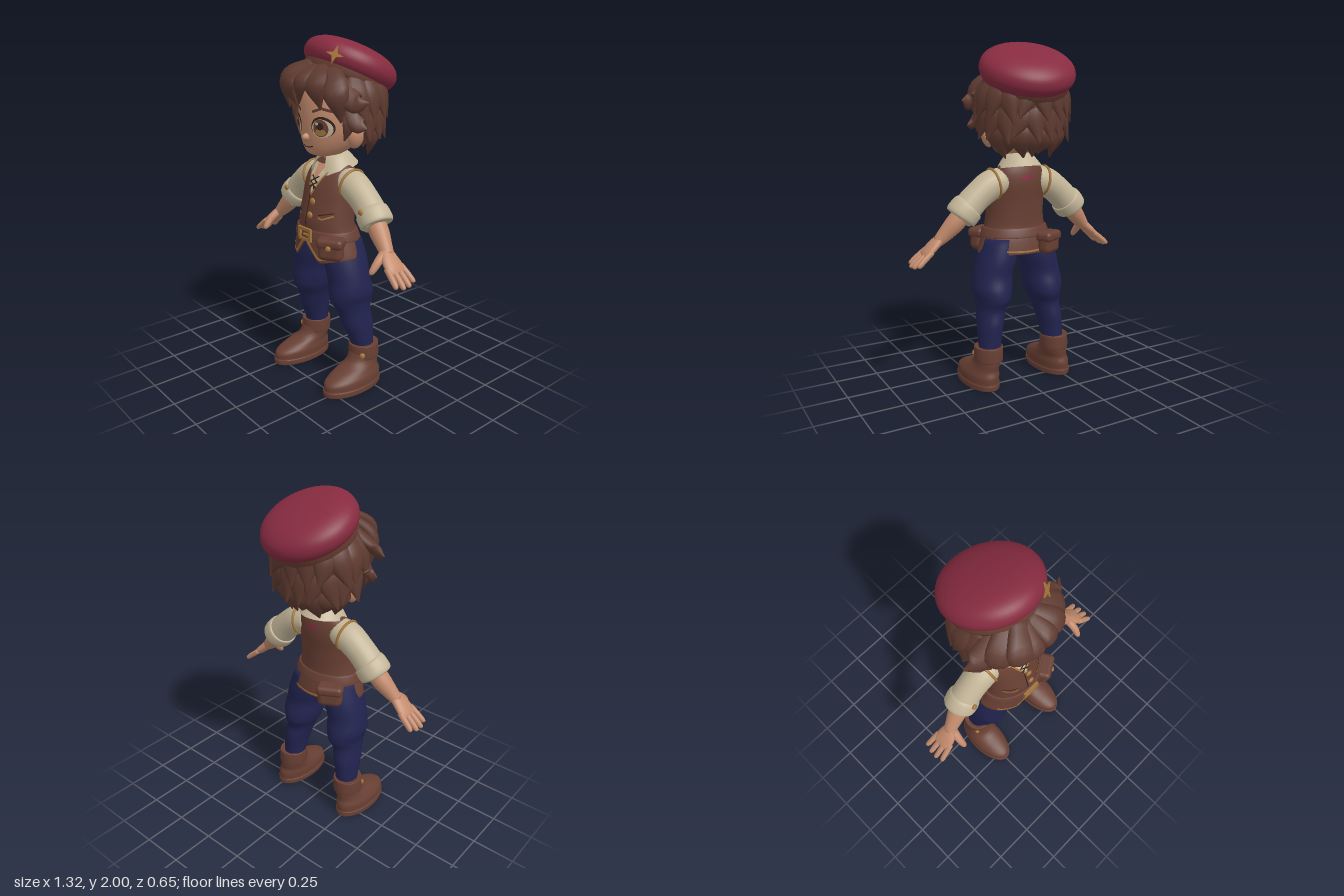
import * as THREE from 'three';
import { RoundedBoxGeometry } from 'three/addons/geometries/RoundedBoxGeometry.js';

const mat = (name, color, side = THREE.FrontSide) => {
  const m = new THREE.MeshStandardMaterial({ color, side });
  m.name = name;
  return m;
};
const both = THREE.DoubleSide;
const skin = mat('skin', 0xc28a6c), hair = mat('hair', 0x5e3a30, both), leather = mat('leather', 0x683f33, both);
const wool = mat('beret red', 0x872b40, both), navy = mat('navy cloth', 0x21234f), cream = mat('cream linen', 0xc2b497, both);
const gold = mat('gold', 0xa2743a, both), dark = mat('dark line', 0x33201c, both);

const V = (x, y, z) => new THREE.Vector3(x, y, z);

// Smooth closed skin over elliptical rings: points are [x, y, z, radiusAlongRef, radiusAcross]
function loft(pts, { up = false, ref = V(0, 0, 1), seg = 20, steps = 4 } = {}) {
  const path = new THREE.CatmullRomCurve3(pts.map(p => V(p[0], p[1], p[2])), false, 'catmullrom');
  const radii = new THREE.CatmullRomCurve3(pts.map(p => V(p[3], p[4] ?? p[3], 0)), false, 'catmullrom');
  const n = (pts.length - 1) * steps, pos = [], idx = [];
  for (let i = 0; i <= n; i++) {
    const p = path.getPoint(i / n), r = radii.getPoint(i / n);
    const t = up ? V(0, 1, 0) : path.getTangent(i / n);
    const A = ref.clone().addScaledVector(t, -ref.dot(t)).normalize(), B = t.clone().cross(A);
    for (let j = 0; j < seg; j++) {
      const a = j / seg * Math.PI * 2;
      const v = p.clone().addScaledVector(A, Math.max(r.x, 0.001) * Math.cos(a))
        .addScaledVector(B, Math.max(r.y, 0.001) * Math.sin(a));
      pos.push(v.x, v.y, v.z);
    }
  }
  for (const u of [0, 1]) pos.push(...path.getPoint(u).toArray());
  const s = (n + 1) * seg;
  for (let j = 0; j < seg; j++) {
    const k = (j + 1) % seg;
    for (let i = 0; i < n; i++) {
      const a = i * seg + j, b = i * seg + k;
      idx.push(a, b, b + seg, a, b + seg, a + seg);
    }
    idx.push(s, k, j, s + 1, n * seg + j, n * seg + k);
  }
  const g = new THREE.BufferGeometry();
  g.setAttribute('position', new THREE.Float32BufferAttribute(pos, 3));
  g.setIndex(idx);
  g.computeVertexNormals();
  return g;
}
// Horizontal rings, rows of [y, cx, cz, rx, rz]
const stack = (rows, s = 1, seg = 32) => loft(rows.map(([y, cx, cz, rx, rz]) => [cx * s, y, cz, rz, rx]), { up: true, seg });

// Flat shapes in the xy plane that get laid onto a surface
const disc = (x, y, rx, ry) => new THREE.RingGeometry(0.01, 1, 24, 4).scale(rx, ry, 1).translate(x, y, 0);
function patch(y0, w0, y1, w1) {
  const g = new THREE.PlaneGeometry(1, 1, 8, 10), p = g.attributes.position;
  for (let i = 0; i < p.count; i++) {
    const v = p.getY(i) + 0.5;
    p.setXY(i, p.getX(i) * 2 * (w0 + (w1 - w0) * v), y0 + (y1 - y0) * v);
  }
  return g;
}
function strip(pts, w) {
  const c = new THREE.CurvePath(), n = 18;
  for (let i = 1; i < pts.length; i++) c.add(new THREE.LineCurve3(V(...pts[i - 1], 0), V(...pts[i], 0)));
  const g = new THREE.PlaneGeometry(1, 1, n, 1), p = g.attributes.position;
  for (let i = 0; i <= n; i++) {
    const q = c.getPoint(i / n), t = c.getTangent(i / n);
    for (const [row, k] of [[0, w / 2], [1, -w / 2]]) p.setXY(row * (n + 1) + i, q.x - t.y * k, q.y + t.x * k);
  }
  return g;
}

export function createModel() {
  const model = new THREE.Group();
  model.name = 'youngAdventurer';
  const add = (name, geo, m, parent = model) => {
    const mesh = new THREE.Mesh(geo, m);
    mesh.name = name;
    parent.add(mesh);
    return mesh;
  };
  const ball = (name, m, p, r, parent) => {
    const b = add(name, new THREE.SphereGeometry(1, 24, 16), m, parent);
    b.position.set(...p);
    b.scale.set(...r);
    return b;
  };
  const ray = new THREE.Raycaster();
  const decal = (name, target, geo, m, lift = 0.004, dir = 1) => {
    const p = geo.attributes.position;
    let z = 0;
    for (let i = 0; i < p.count; i++) {
      ray.set(V(p.getX(i), p.getY(i), dir), V(0, 0, -dir));
      const hit = ray.intersectObject(target)[0];
      if (hit) z = hit.point.z;
      p.setZ(i, z + lift * dir);
    }
    geo.computeVertexNormals();
    return add(name, geo, m);
  };

  // Head and face
  const head = add('head', stack([[1.352, 0, 0.1, 0.05, 0.06], [1.37, 0, 0.09, 0.1, 0.11], [1.42, 0, 0.065, 0.15, 0.155],
    [1.5, 0, 0.04, 0.19, 0.19], [1.6, 0, 0.03, 0.2, 0.2], [1.7, 0, 0.02, 0.19, 0.19], [1.8, 0, 0, 0.14, 0.14]], 1, 40), skin);
  add('neck', new THREE.CylinderGeometry(0.06, 0.066, 0.16, 24).translate(0, 1.33, 0.03), skin);
  ball('nose', skin, [0, 1.465, 0.226], [0.02, 0.022, 0.032]);
  decal('mouth', head, strip([[-0.04, 1.418], [-0.015, 1.41], [0.015, 1.41], [0.04, 1.418]], 0.006), dark);
  for (const s of [1, -1]) {
    const ear = ball('ear', skin, [0.2 * s, 1.465, 0.05], [0.03, 0.06, 0.045]);
    ear.rotation.set(0, -0.3 * s, -0.3 * s);
    decal('eyeOutline', head, disc(0.1 * s, 1.527, 0.057, 0.057), dark, 0.002);
    decal('eyeWhite', head, disc(0.1 * s, 1.52, 0.051, 0.05), cream, 0.004);
    decal('iris', head, disc(0.096 * s, 1.522, 0.037, 0.047), leather, 0.006);
    decal('irisGlow', head, disc(0.096 * s, 1.5, 0.026, 0.019), gold, 0.0075);
    decal('pupil', head, disc(0.096 * s, 1.532, 0.018, 0.02), dark, 0.0085);
    decal('eyeGlint', head, disc(0.096 * s - 0.014, 1.546, 0.008, 0.009), cream, 0.0095);
    decal('eyebrow', head, strip([[0.05 * s, 1.607], [0.1 * s, 1.627], [0.15 * s, 1.612]], 0.014), hair);
  }

  // Hair: skullcap, fringe, then layered locks around the sides and back
  ball('hairCap', hair, [0, 1.655, -0.04], [0.245, 0.225, 0.2]);
  const lock = (a, b, c, w) => {
    const ref = V(b[0], 0.03, b[2]).normalize();
    add('hairLock', loft([[...a, w * 0.4, w * 0.75], [...b, w * 0.5, w], [...c, 0.003, 0.004]], { ref, seg: 10, steps: 6 }), hair);
  };
  const fringe = [
    [-0.02, 1.84, 0.16, -0.06, 1.75, 0.285, -0.03, 1.64, 0.27, 0.06], [-0.03, 1.85, 0.15, -0.13, 1.77, 0.26, -0.14, 1.61, 0.235, 0.07],
    [-0.06, 1.85, 0.12, -0.2, 1.74, 0.19, -0.215, 1.57, 0.15, 0.075], [0.02, 1.84, 0.16, 0.04, 1.77, 0.29, 0.005, 1.65, 0.28, 0.05],
    [0.04, 1.84, 0.15, 0.12, 1.76, 0.26, 0.14, 1.63, 0.24, 0.065], [0.06, 1.84, 0.13, 0.2, 1.72, 0.19, 0.21, 1.56, 0.16, 0.075],
    [-0.15, 1.8, 0.1, -0.27, 1.71, 0.12, -0.35, 1.69, 0.1, 0.06], [0.15, 1.78, 0.1, 0.26, 1.67, 0.12, 0.335, 1.67, 0.08, 0.06],
    [-0.18, 1.7, 0.08, -0.26, 1.58, 0.09, -0.33, 1.58, 0.07, 0.055], [0.18, 1.7, 0.08, 0.25, 1.56, 0.09, 0.31, 1.53, 0.07, 0.055],
    [-0.19, 1.64, 0.1, -0.225, 1.55, 0.12, -0.2, 1.46, 0.13, 0.035], [0.19, 1.64, 0.1, 0.225, 1.55, 0.12, 0.2, 1.46, 0.13, 0.035]];
  for (const f of fringe) lock(f.slice(0, 3), f.slice(3, 6), f.slice(6, 9), f[9]);
  // each layer: count, half sweep, then height and radius of root, middle and tip
  for (const [n, sweep, y0, r0, y1, r1, y2, r2] of [[11, 1.9, 1.79, 0.17, 1.69, 0.215, 1.56, 0.25],
    [10, 1.6, 1.68, 0.18, 1.58, 0.205, 1.45, 0.235], [8, 1.2, 1.58, 0.165, 1.47, 0.185, 1.365, 0.15]]) {
    for (let i = 0; i < n; i++) {
      const a = -sweep + 2 * sweep * i / (n - 1), wave = Math.sin(i * 2.4);
      const at = (y, r, turn) => [Math.sin(a + turn) * r * 1.15, y, -0.01 - Math.cos(a + turn) * r];
      lock(at(y0, r0, 0), at(y1, r1, 0), at(y2 + wave * 0.015, r2, 0.15 * wave), 0.068);
    }
  }

  // Beret, tilted back and to its left
  const beret = new THREE.Group();
  beret.name = 'beret';
  beret.position.set(0.005, 1.81, -0.065);
  beret.rotation.set(-0.42, 0, -0.09);
  model.add(beret);
  const lathe = pts => new THREE.LatheGeometry(pts.map(p => new THREE.Vector2(...p)), 48);
  add('beretBand', lathe([[0, -0.06], [0.21, -0.075], [0.23, -0.077], [0.242, -0.055], [0.244, -0.02]]), leather, beret);
  const crown = new THREE.SplineCurve([[0.232, -0.035], [0.258, -0.012], [0.27, 0.03], [0.25, 0.08], [0.19, 0.117], [0.1, 0.136], [0, 0.141]]
    .map(p => new THREE.Vector2(...p)));
  add('beretCrown', new THREE.LatheGeometry(crown.getPoints(24), 48), wool, beret);
  const star = new THREE.Shape(Array.from({ length: 8 }, (_, i) => {
    const r = i % 2 ? 0.016 : 0.05, a = i * Math.PI / 4 + 0.1;
    return new THREE.Vector2(Math.cos(a) * r, Math.sin(a) * r);
  }));
  const pin = add('starPin', new THREE.ExtrudeGeometry(star, { depth: 0.009, bevelEnabled: false }), gold, beret);
  pin.position.set(0.14, 0.012, 0.233);
  pin.rotation.set(-0.1, 0.54, 0);

  // Vest with a pointed, notched front hem
  const vestGeo = stack([[0.88, 0, 0.08, 0.17, 0.11], [0.805, 0, 0.08, 0.228, 0.157], [0.8, 0, 0.08, 0.238, 0.167], [0.88, 0, 0.085, 0.212, 0.157],
    [0.93, 0, 0.09, 0.192, 0.142], [1, 0, 0.09, 0.18, 0.14], [1.1, 0, 0.075, 0.175, 0.13], [1.18, 0, 0.06, 0.174, 0.125],
    [1.25, 0, 0.045, 0.162, 0.107], [1.3, 0, 0.03, 0.125, 0.078], [1.33, 0, 0.03, 0.075, 0.06]], 1, 64);
  const vp = vestGeo.attributes.position;
  for (let i = 0; i < vp.count; i++) {
    const x = Math.abs(vp.getX(i)), y = vp.getY(i);
    if (y > 0.9 || vp.getZ(i) < 0.09) continue;
    const hem = x < 0.1 ? 0.88 - 1.15 * x : 0.765 + 0.25 * (x - 0.1);
    vp.setY(i, y + (hem - 0.8) * Math.min(1, (0.9 - y) / 0.1));
  }
  vestGeo.computeVertexNormals();
  const vest = add('vest', vestGeo, leather);
  decal('shirtFront', vest, patch(1.14, 0.004, 1.3, 0.08), cream, 0.005);
  decal('bareChest', vest, patch(1.21, 0.002, 1.3, 0.04), skin, 0.008);
  decal('backPatch', vest, patch(1.225, 0.035, 1.25, 0.04), wool, 0.004, -1);
  decal('backHemTrim', vest, strip([[-0.2, 0.815], [0, 0.808], [0.2, 0.815]], 0.01), gold, 0.004, -1);
  decal('frontSeam', vest, strip([[-0.012, 1.14], [-0.012, 0.96]], 0.007), dark);
  for (const s of [1, -1]) {
    decal('neckTrim', vest, strip([[0, 1.135], [0.085 * s, 1.3]], 0.01), gold, 0.007);
    decal('hemTrim', vest, strip([[0.008 * s, 0.888], [0.1 * s, 0.782], [0.2 * s, 0.808]], 0.015), gold);
    decal('pocketTrim', vest, strip([[0.075 * s, 1.02], [0.1 * s, 1.012], [0.15 * s, 1.035]], 0.009), gold);
    decal('pocketSeam', vest, strip([[0.075 * s, 1.033], [0.15 * s, 1.05]], 0.006), dark);
    for (const y of [1.175, 1.205]) decal('lace', vest, strip([[-0.03 * s, y], [0.03 * s, y + 0.035]], 0.008), dark, 0.0095);
    decal('laceTail', vest, strip([[0, 1.195], [0.02 * s, 1.165]], 0.007), dark, 0.0095);
  }
  for (const y of [1.1, 1.025]) ball('button', gold, [0.018, y, y > 1.05 ? 0.207 : 0.228], [0.02, 0.02, 0.011]);

  // Shirt collar, open at the throat with its points drawn down
  const collarGeo = new THREE.LatheGeometry([[0.066, 0.045], [0.075, 0.06], [0.1, 0.03], [0.135, -0.02]].map(p => new THREE.Vector2(...p)),
    40, 0.4, Math.PI * 2 - 0.8);
  const cp = collarGeo.attributes.position;
  for (let i = 0; i < cp.count; i++) {
    const r = Math.hypot(cp.getX(i), cp.getZ(i));
    if (r > 0.12) cp.setY(i, cp.getY(i) - 0.04 * Math.max(0, cp.getZ(i) / r) ** 4);
  }
  collarGeo.computeVertexNormals();
  const collar = add('collar', collarGeo, cream);
  collar.position.set(0, 1.305, 0.035);
  collar.rotation.x = 0.15;

  // Belt, buckle and pouches
  add('belt', stack([[0.885, 0, 0.087, 0.21, 0.157], [0.89, 0, 0.087, 0.217, 0.163], [0.935, 0, 0.09, 0.202, 0.151], [0.94, 0, 0.09, 0.194, 0.143]], 1, 48), leather);
  const rect = (P, w, h) => new P([[-w, -h], [w, -h], [w, h], [-w, h]].map(p => new THREE.Vector2(...p)));
  const frame = rect(THREE.Shape, 0.055, 0.038);
  frame.holes.push(rect(THREE.Path, 0.038, 0.022));
  const buckle = add('buckle', new THREE.ExtrudeGeometry(frame, { depth: 0.014, bevelEnabled: false }), gold);
  buckle.position.set(0, 0.914, 0.243);
  add('bucklePin', new THREE.BoxGeometry(0.05, 0.009, 0.012).translate(0.015, 0.914, 0.252), gold);
  for (const [x, y, z, turn] of [[0.17, 0.855, 0.2, 0.55], [-0.14, 0.845, -0.075, Math.PI + 0.5]]) {
    const pouch = new THREE.Group();
    pouch.name = 'pouch';
    pouch.position.set(x, y, z);
    pouch.rotation.y = turn;
    model.add(pouch);
    add('pouchBody', new RoundedBoxGeometry(0.145, 0.125, 0.085, 4, 0.035), leather, pouch);
    add('pouchFlap', new RoundedBoxGeometry(0.155, 0.06, 0.1, 4, 0.025).translate(0, 0.04, 0), leather, pouch);
    if (x > 0) ball('pouchStud', gold, [0, 0.02, 0.051], [0.016, 0.016, 0.01], pouch);
  }

  // Trousers
  ball('trouserSeat', navy, [0, 0.885, 0.065], [0.19, 0.09, 0.13]);
  for (const s of [1, -1]) {
    add('trouserLeg', stack([[0.22, 0.215, 0, 0.066, 0.066], [0.3, 0.21, 0.012, 0.07, 0.08], [0.38, 0.2, 0.028, 0.076, 0.1], [0.46, 0.185, 0.045, 0.084, 0.106],
      [0.52, 0.172, 0.05, 0.1, 0.135], [0.58, 0.172, 0.055, 0.115, 0.138], [0.66, 0.162, 0.063, 0.115, 0.127], [0.76, 0.135, 0.065, 0.116, 0.133],
      [0.88, 0.11, 0.07, 0.1, 0.12]], s), navy);

    // Boots
    add('boot', stack([[0, 0.245, 0.105, 0.098, 0.197], [0.004, 0.245, 0.105, 0.102, 0.203], [0.03, 0.245, 0.105, 0.102, 0.203], [0.036, 0.245, 0.104, 0.097, 0.198],
      [0.075, 0.243, 0.1, 0.097, 0.195], [0.11, 0.238, 0.072, 0.086, 0.155], [0.15, 0.23, 0.018, 0.076, 0.105], [0.22, 0.225, 0, 0.077, 0.086]], s), leather);
    add('bootCuff', stack([[0.165, 0.227, 0, 0.077, 0.086], [0.17, 0.227, 0, 0.084, 0.092], [0.24, 0.225, 0, 0.084, 0.091], [0.25, 0.225, 0, 0.078, 0.085],
      [0.246, 0.22, 0, 0.06, 0.06]], s), leather);
    ball('bootStud', gold, [0.285 * s, 0.195, 0.062], [0.017, 0.019, 0.015]);

    // Arms: sleeve, rolled cuff, forearm and hand
    const limb = (name, m, pts, seg = 20) => add(name, loft(pts.map(([x, ...rest]) => [x * s, ...rest]), { seg }), m);
    limb('sleeve', cream, [[0.1, 1.21, 0.04, 0.08], [0.18, 1.192, 0.04, 0.087], [0.27, 1.13, 0.04, 0.083], [0.345, 1.055, 0.042, 0.086]]);
    limb('sleeveCuff', cream, [[0.318, 1.083, 0.04, 0.08], [0.328, 1.073, 0.041, 0.094], [0.365, 1.033, 0.043, 0.096], [0.376, 1.02, 0.044, 0.085], [0.37, 1.026, 0.044, 0.05]]);
    const trim = add('armholeTrim', new THREE.TorusGeometry(0.088, 0.008, 8, 32), gold);
    trim.position.set(0.163 * s, 1.198, 0.04);
    trim.rotation.set(0, Math.PI / 2, -0.2 * s, 'ZYX');
    ball('sleeveButton', gold, [0.335 * s, 1.095, 0.13], [0.017, 0.017, 0.012]);
    limb('forearm', skin, [[0.33, 1.07, 0.043, 0.055], [0.4, 0.99, 0.055, 0.055], [0.46, 0.925, 0.07, 0.043], [0.5, 0.885, 0.08, 0.037, 0.03]]);
    limb('palm', skin, [[0.47, 0.915, 0.075, 0.034, 0.028], [0.52, 0.87, 0.085, 0.055, 0.028], [0.565, 0.828, 0.086, 0.062, 0.023], [0.585, 0.81, 0.086, 0.052, 0.014]]);
    for (let f = 0; f < 4; f++) {
      const z = 0.036 + f * 0.034, reach = [0.85, 0.98, 1, 0.88][f], fan = (f - 1.5) * 0.008;
      limb('finger', skin, [[0.55, 0.84, z, 0.016], [0.55 + 0.055 * reach, 0.84 - 0.045 * reach, z + fan / 2, 0.017],
        [0.55 + 0.095 * reach, 0.84 - 0.08 * reach, z + fan, 0.014], [0.55 + 0.104 * reach, 0.84 - 0.09 * reach, z + fan, 0.006]], 10);
    }
    limb('thumb', skin, [[0.485, 0.9, 0.1, 0.024], [0.492, 0.86, 0.15, 0.023], [0.49, 0.82, 0.185, 0.017], [0.487, 0.805, 0.195, 0.007]], 12);
  }
  return model;
}
